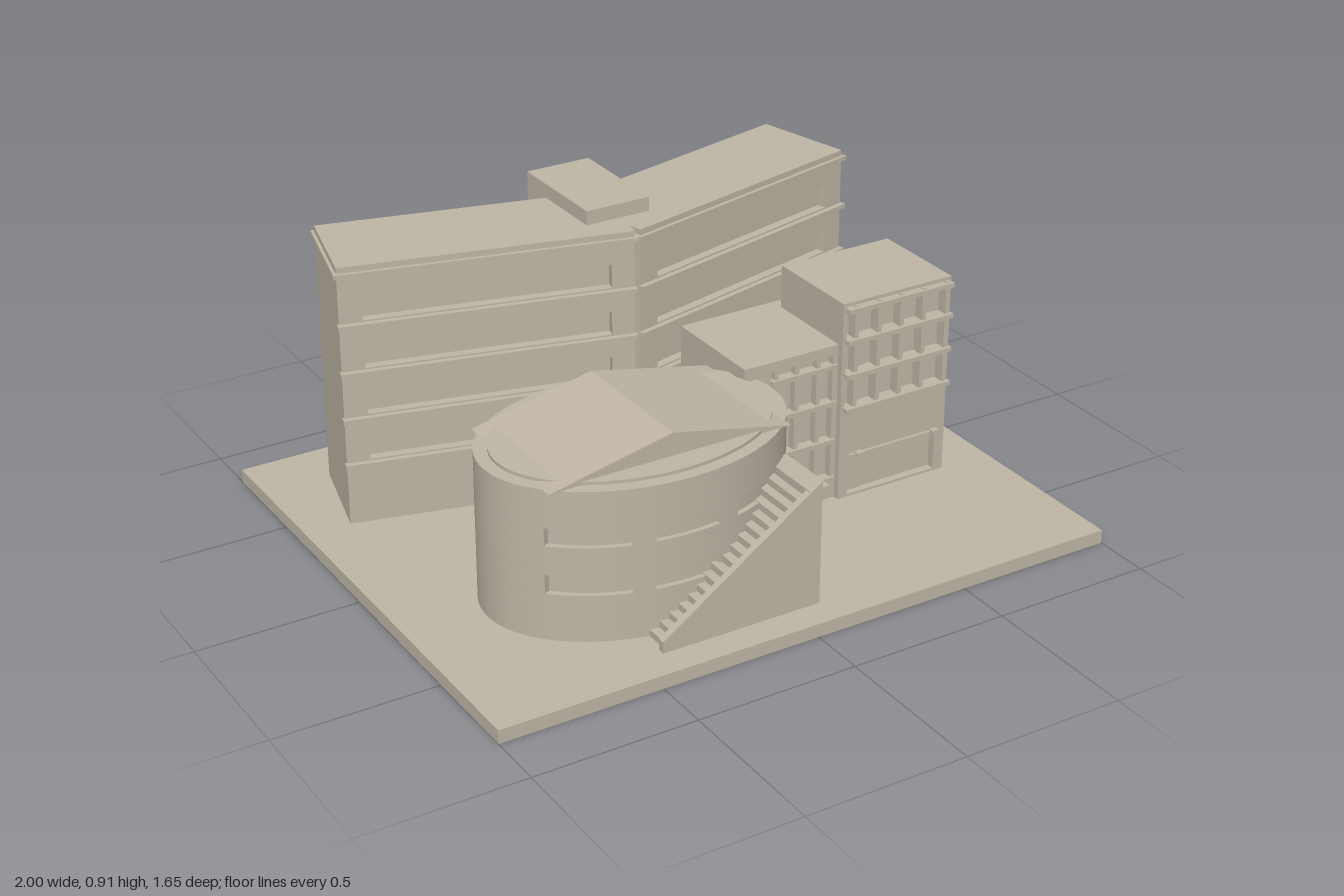
import * as THREE from 'three';
import { toCreasedNormals } from 'three/addons/utils/BufferGeometryUtils.js';

export function createModel() {
  const model = new THREE.Group();
  const stone = new THREE.MeshStandardMaterial({ color: 0xbeb5a5 });
  stone.name = 'stone';
  const GROUND = 0.042;

  function add(parent, name, geometry) {
    const mesh = new THREE.Mesh(geometry, stone);
    mesh.name = name;
    parent.add(mesh);
    return mesh;
  }

  // Box given by its minimum and maximum on each axis
  function box(parent, name, x0, x1, y0, y1, z0, z1) {
    const g = new THREE.BoxGeometry(x1 - x0, y1 - y0, z1 - z0);
    g.translate((x0 + x1) / 2, (y0 + y1) / 2, (z0 + z1) / 2);
    return add(parent, name, g);
  }

  function polygon(points) {
    return new THREE.Shape(points.map(([x, y]) => new THREE.Vector2(x, y)));
  }
  const rectangle = (x0, x1, y0, y1) => [[x0, y0], [x1, y0], [x1, y1], [x0, y1]];

  function extrude(shape, depth) {
    return new THREE.ExtrudeGeometry(shape, { depth, bevelEnabled: false });
  }

  // Block whose front wall has recessed openings [x0, x1, y0, y1]
  function block(parent, name, x0, x1, y1, z0, z1, recess, openings) {
    box(parent, name + 'Body', x0, x1, GROUND, y1, z0, z1 - recess);
    const wall = polygon(rectangle(x0, x1, GROUND, y1));
    openings.forEach((o) => wall.holes.push(polygon(rectangle(...o))));
    const g = extrude(wall, recess);
    g.translate(0, 0, z1 - recess);
    add(parent, name + 'Facade', g);
  }

  // Lattice of bars in front of a recessed opening
  function lattice(parent, name, xs, ys, x0, x1, y0, y1, zBack, zUpright, zRail) {
    const t = 0.007;
    xs.forEach((x) => box(parent, name + 'Upright', x - t, x + t, y0, y1, zBack, zUpright));
    ys.forEach((y) => box(parent, name + 'Rail', x0, x1, y - t, y + t, zBack, zRail));
  }

  // Site slab
  box(model, 'base', -1, 1, 0, GROUND, -0.825, 0.825);

  // Two angled office wings
  const half = 0.438, depth = 0.318;
  const floors = [0.235, 0.382, 0.53, 0.68];
  for (const side of [-1, 1]) {
    const wing = new THREE.Group();
    wing.name = side > 0 ? 'leftWing' : 'rightWing';
    wing.position.set(side * 0.435, 0, -0.247);
    wing.rotation.y = side * 0.241;
    const windows = floors.map((y) => [-half + 0.07, half - 0.07, y + 0.012, y + 0.086]);
    block(wing, 'wing', -half, half, 0.863, -depth, 0, 0.028, windows);
    floors.forEach((y) => box(wing, 'floorLedge', -half - 0.005, half + 0.005, y - 0.007, y + 0.007, -0.005, 0.017));
    box(wing, 'cornice', -half - 0.01, half + 0.01, 0.832, 0.845, -depth - 0.01, 0.012);
    model.add(wing);
  }

  // Lift core between the wings
  box(model, 'coreTower', -0.107, 0.104, GROUND, 0.907, -0.608, -0.25);

  // Oval hall: stacked bands, two of them notched for the windows
  const CX = -0.295, CZ = 0.317, RX = 0.465, RZ = 0.333;
  function oval(rx, rz, notches) {
    const pts = [];
    const arc = (t0, t1, k) => {
      const n = Math.max(2, Math.ceil((Math.abs(t1 - t0) / (2 * Math.PI)) * 96));
      for (let i = 0; i <= n; i++) {
        const t = t0 + ((t1 - t0) * i) / n;
        pts.push([CX + rx * k * Math.cos(t), -CZ - rz * k * Math.sin(t)]);
      }
    };
    let from = 0;
    notches.forEach(([xa, xb]) => {
      const ta = Math.acos((xb - CX) / rx), tb = Math.acos((xa - CX) / rx);
      arc(from, ta, 1);
      arc(ta, tb, 0.955);
      from = tb;
    });
    arc(from, 2 * Math.PI, 1);
    pts.pop();
    return polygon(pts);
  }
  function ovalBand(name, shape, y0, y1) {
    const g = extrude(shape, y1 - y0);
    g.rotateX(-Math.PI / 2);
    g.translate(0, y0, 0);
    add(model, name, toCreasedNormals(g, 0.3));
  }
  const hallWindows = [[-0.145, 0.05], [-0.41, -0.21], [-0.68, -0.475]];
  const levels = [GROUND, 0.187, 0.245, 0.335, 0.39, 0.507];
  for (let i = 0; i < 5; i++) {
    const windowed = i % 2 === 1;
    ovalBand(windowed ? 'hallWindowBand' : 'hallWall', oval(RX, RZ, windowed ? hallWindows : []), levels[i], levels[i + 1]);
  }
  ovalBand('hallRoofDisc', oval(0.425, 0.295, []), 0.506, 0.517);

  // Shallow gable over the hall
  const gable = extrude(polygon([[-0.68, 0.506], [0.09, 0.506], [CX, 0.587]]), 0.44);
  gable.translate(0, 0, 0.096);
  add(model, 'hallGable', gable);

  // Outside stair with a sloping parapet and a landing
  const parapet = extrude(polygon([[-0.445, GROUND], [0.064, GROUND], [0.064, 0.428], [-0.445, 0.077]]), 0.022);
  parapet.translate(0, 0, 0.71);
  add(model, 'stairParapet', parapet);
  const steps = 16, run = 0.455 / steps, rise = (0.38 - GROUND) / steps;
  const profile = [[-0.43, GROUND]];
  for (let i = 0; i < steps; i++) {
    const x = -0.43 + i * run, y = GROUND + (i + 1) * rise;
    profile.push([x, y], [x + run, y]);
  }
  profile.push([0.064, 0.38], [0.064, GROUND]);
  const stair = extrude(polygon(profile), 0.17);
  stair.translate(0, 0, 0.541);
  add(model, 'stairSteps', stair);
  box(model, 'stairLanding', 0.025, 0.092, 0.38, 0.404, 0.51, 0.725);

  // Low glazed block
  block(model, 'lowBlock', 0.12, 0.54, 0.547, -0.095, 0.25, 0.025, [[0.212, 0.44, 0.095, 0.515]]);
  lattice(model, 'lowWindow', [0.232, 0.302, 0.377, 0.434], [0.108, 0.235, 0.36, 0.48],
    0.212, 0.44, 0.095, 0.515, 0.22, 0.25, 0.258);

  // Tall glazed block with the entrance
  block(model, 'tallBlock', 0.445, 0.83, 0.683, -0.053, 0.27, 0.025,
    [[0.458, 0.822, 0.33, 0.672], [0.477, 0.795, 0.05, 0.18]]);
  lattice(model, 'tallWindow', [0.488, 0.568, 0.648, 0.728, 0.812], [0.34, 0.452, 0.562, 0.662],
    0.452, 0.828, 0.33, 0.672, 0.24, 0.28, 0.291);
  box(model, 'entranceCanopy', 0.477, 0.795, 0.178, 0.186, 0.25, 0.28);
  for (const x of [0.51, 0.785]) box(model, 'canopyBracket', x - 0.012, x + 0.012, 0.178, 0.19, 0.25, 0.291);

  return model;
}
